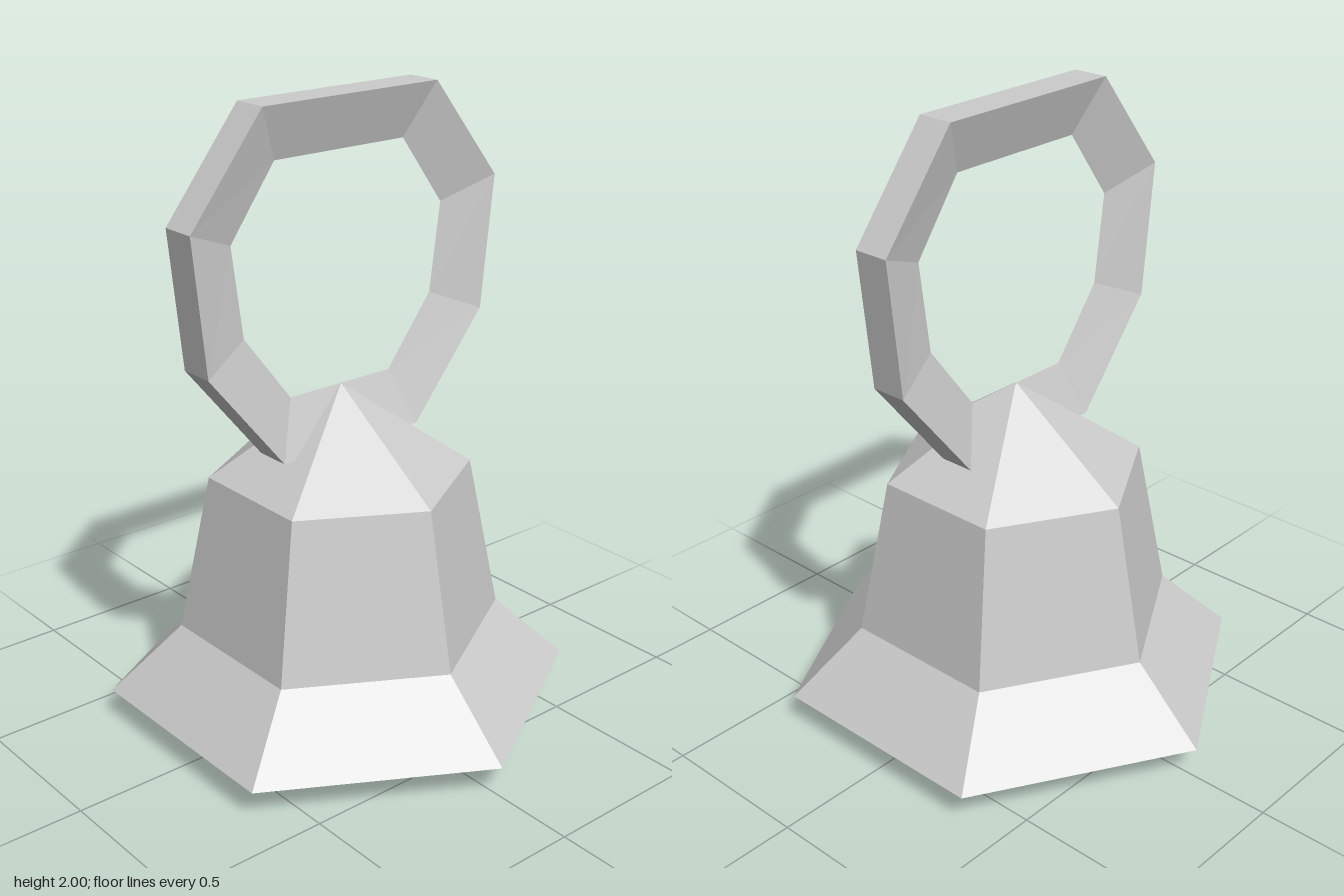
import * as THREE from 'three';

const metal = new THREE.MeshStandardMaterial({ color: 0xcccccc, flatShading: true, side: THREE.DoubleSide });
metal.name = 'grey metal';

function addPart(group, name, geometry) {
  const mesh = new THREE.Mesh(geometry, metal);
  mesh.name = name;
  group.add(mesh);
  return mesh;
}

// Closed loop with a triangular section: two outer corners and one inner ridge
function ringGeometry(outer, inner, halfWidth) {
  const mirrored = (half) => [...half, ...half.map(([z, y]) => [-z, y]).reverse()];
  const outerLoop = mirrored(outer);
  const innerLoop = mirrored(inner);
  const n = outerLoop.length;
  const positions = [];
  const indices = [];
  for (let i = 0; i < n; i++) {
    const [zo, yo] = outerLoop[i];
    const [zi, yi] = innerLoop[i];
    positions.push(halfWidth, yo, zo, -halfWidth, yo, zo, 0, yi, zi);
    const j = (i + 1) % n;
    for (let k = 0; k < 3; k++) {
      const m = (k + 1) % 3;
      const a = i * 3 + k, b = i * 3 + m, c = j * 3 + m, d = j * 3 + k;
      indices.push(a, b, c, a, c, d);
    }
  }
  const geometry = new THREE.BufferGeometry();
  geometry.setAttribute('position', new THREE.Float32BufferAttribute(positions, 3));
  geometry.setIndex(indices);
  geometry.computeVertexNormals();
  return geometry;
}

export function createModel() {
  const bell = new THREE.Group();
  bell.name = 'handBell';

  // Open six-sided shell: flared rim, tapering body, pointed cap
  const profile = [[0.746, 0.1], [0.516, 0.315], [0.414, 0.82], [0, 1.105]]
    .map(([r, y]) => new THREE.Vector2(r, y));
  addPart(bell, 'bellShell', new THREE.LatheGeometry(profile, 6, Math.PI / 2)).position.x = -0.002;

  // Clapper hanging below the rim
  addPart(bell, 'clapper', new THREE.OctahedronGeometry(0.24)).position.set(-0.002, 0.24, 0);

  // Eight-sided handle ring, given as (z, y) from the top down one side
  const outer = [[0.325, 2], [0.578, 1.68], [0.532, 1.252], [0.265, 0.925]];
  const inner = [[0.243, 1.83], [0.402, 1.61], [0.363, 1.325], [0.195, 1.105]];
  addPart(bell, 'handleRing', ringGeometry(outer, inner, 0.058)).position.x = -0.004;

  return bell;
}
